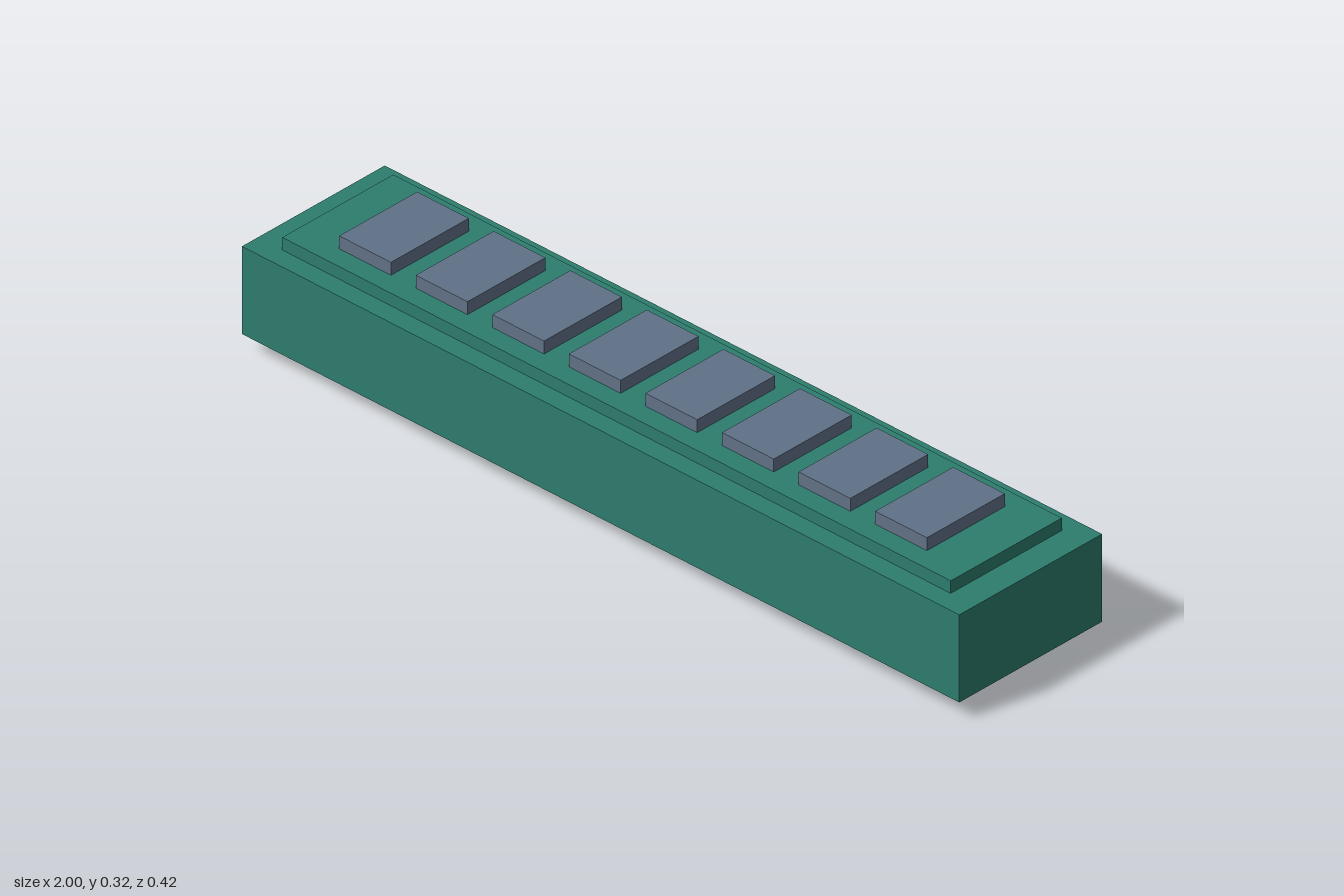
import * as THREE from 'three';

export function createModel() {
  const green = new THREE.MeshStandardMaterial({ name: 'green', color: 0x2d7d6e });
  const tan = new THREE.MeshStandardMaterial({ name: 'tan', color: 0xc9b582 });
  const slate = new THREE.MeshStandardMaterial({ name: 'slate', color: 0x607187 });

  const model = new THREE.Group();
  model.name = 'connectorBlock';

  // Box centred on x and z, spanning bottom to top in height
  function slab(name, material, width, depth, bottom, top, x = 0) {
    const mesh = new THREE.Mesh(new THREE.BoxGeometry(width, top - bottom, depth), material);
    mesh.name = name;
    mesh.position.set(x, (bottom + top) / 2, 0);
    model.add(mesh);
  }

  // Stacked layers: narrow foot, main body, raised deck
  slab('foot', tan, 1.716, 0.153, 0, 0.045);
  slab('body', green, 2, 0.418, 0.045, 0.255);
  slab('deck', green, 1.864, 0.325, 0.255, 0.285);

  // Row of eight evenly spaced pads
  const count = 8, pitch = 0.2135;
  for (let i = 0; i < count; i++) {
    slab(`pad${i + 1}`, slate, 0.144, 0.228, 0.285, 0.316, (i - (count - 1) / 2) * pitch);
  }

  return model;
}
